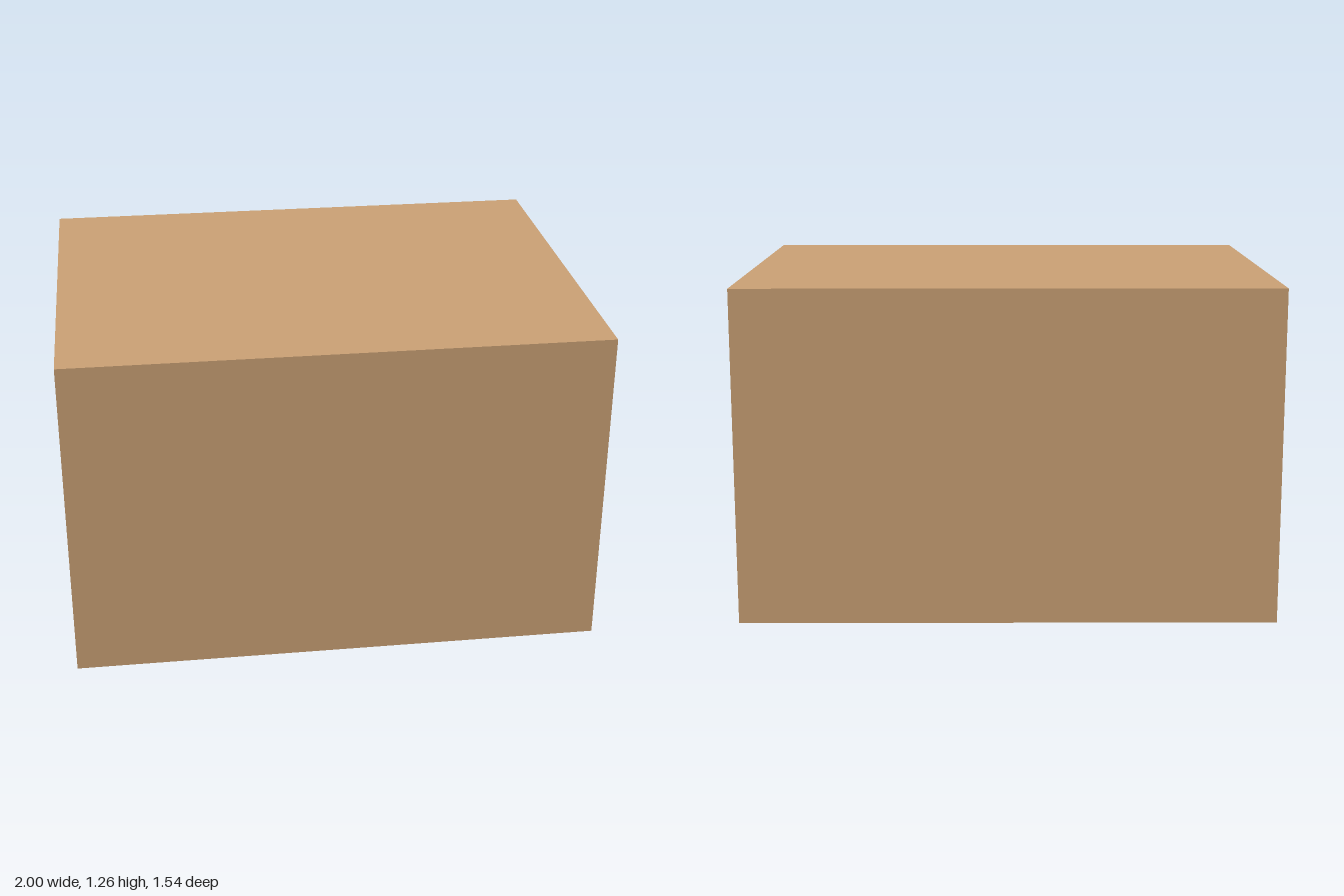
import * as THREE from 'three';

const TAN = 0xc9a074, OLIVE = 0xa39a3c, BROWN = 0x5a4526, MAROON = 0x5a3020, DARK = 0x33271a;

export function createModel() {
  const room = new THREE.Group();
  room.name = 'room';

  const add = (name, geometry, color) => {
    const mesh = new THREE.Mesh(geometry, new THREE.MeshStandardMaterial({ color }));
    mesh.name = name;
    room.add(mesh);
    return mesh;
  };
  // Box given by its low and high corners
  const box = (name, color, x0, x1, y0, y1, z0, z1) => {
    const mesh = add(name, new THREE.BoxGeometry(x1 - x0, y1 - y0, z1 - z0), color);
    mesh.position.set((x0 + x1) / 2, (y0 + y1) / 2, (z0 + z1) / 2);
    return mesh;
  };
  const rect = (target, x0, x1, y0, y1) => {
    target.moveTo(x0, y0);
    target.lineTo(x1, y0);
    target.lineTo(x1, y1);
    target.lineTo(x0, y1);
    target.closePath();
    return target;
  };

  // Shell
  const W = 1, D = 0.77, T = 0.06, Y0 = 0.016, Y1 = 1.265;
  box('ceiling', TAN, -W, W, Y1 - T, Y1, -D, D);
  box('frontWall', TAN, -W, W, Y0, Y1 - T, D - T, D);
  box('backWall', TAN, -W, W, Y0, Y1 - T, -D, T - D);
  box('rightWall', TAN, -W, T - W, Y0, Y1 - T, T - D, D - T);
  box('floor', MAROON, T - W, W - T, Y0, 0.022, T - D, D - T);

  // Wall with the window opening, drawn in (-z, y) and extruded along x
  const wall = rect(new THREE.Shape(), T - D, D - T, Y0, Y1 - T);
  wall.holes.push(rect(new THREE.Path(), -0.45, 0.08, 0.505, 1.075));
  const windowWall = add('windowWall',
    new THREE.ExtrudeGeometry(wall, { depth: T, bevelEnabled: false }), TAN);
  windowWall.rotation.y = Math.PI / 2;
  windowWall.position.x = W - T;

  // Door with its frame on the far side wall
  box('doorLeaf', OLIVE, -0.94, -0.92, 0.022, 0.97, -0.305, 0.12);
  for (const [z0, z1] of [[-0.32, -0.305], [0.12, 0.135]])
    box('doorJamb', OLIVE, -0.94, -0.9, 0.022, 1.015, z0, z1);
  box('doorHead', OLIVE, -0.94, -0.9, 0.97, 1.015, -0.305, 0.12);
  box('doorCap', DARK, -0.94, -0.895, 1.015, 1.02, -0.32, 0.135);

  // Tall clock with a chamfered top, facing into the room
  const profile = new THREE.Shape();
  [[-0.13, 0.01], [0.13, 0.01], [0.13, 1.0], [0.06, 1.085], [-0.06, 1.085], [-0.13, 1.0]]
    .forEach(([x, y], i) => (i ? profile.lineTo(x, y) : profile.moveTo(x, y)));
  const clock = add('clockCase',
    new THREE.ExtrudeGeometry(profile, { depth: 0.2, bevelEnabled: false }), BROWN);
  clock.position.set(0.72, 0, 0.5);
  box('clockDoor', BROWN, 0.63, 0.81, 0.2, 0.95, 0.49, 0.5);
  box('clockDoorRail', DARK, 0.65, 0.79, 0.92, 0.935, 0.485, 0.49);

  // Cupboard on feet
  box('cupboard', TAN, -0.9, -0.3, 0.06, 1.1, 0.443, 0.71);
  for (const x of [-0.876, -0.32])
    for (const z of [0.46, 0.68])
      box('cupboardFoot', DARK, x - 0.018, x + 0.018, 0.012, 0.06, z - 0.017, z + 0.017);

  // Planter along the front wall
  box('planter', OLIVE, 0.19, 0.51, 0, 0.2, 0.6, 0.64);

  // Low chest in the back corner
  box('chest', BROWN, 0.58, 0.92, 0.018, 0.12, -0.69, -0.36);
  box('chestLid', DARK, 0.57, 0.93, 0.12, 0.135, -0.7, -0.35);

  // Upright panel and small bin by the back wall
  box('uprightPanel', BROWN, 0.4, 0.41, 0.022, 1.05, -0.71, -0.58);
  box('bin', OLIVE, 0.375, 0.44, 0.022, 0.125, -0.71, -0.63);

  return room;
}
